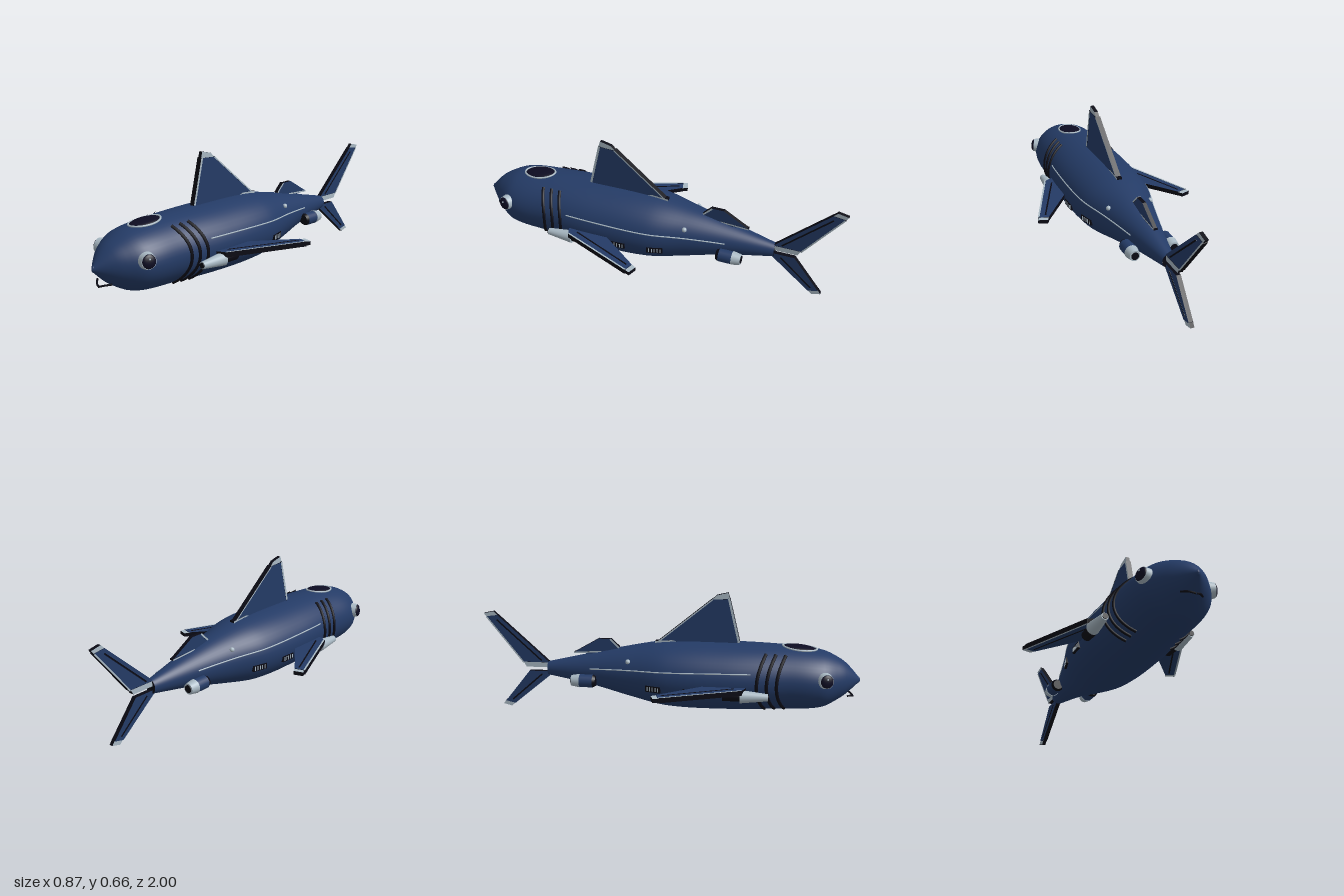
import * as THREE from 'three';

const mat = (name, color, side = THREE.FrontSide) => {
  const m = new THREE.MeshStandardMaterial({ color, side });
  m.name = name;
  return m;
};
const navy = mat('navy hull', 0x243b66);
const black = mat('black rubber', 0x0a0a14);
const steel = mat('pale steel', 0xa9b9c4);
const glass = mat('dark glass', 0x0d0c22);

// hull stations: z, top, bottom, half width
const stations = [
  [1, 0.224, 0.214, 0.004], [0.95, 0.283, 0.166, 0.06], [0.9, 0.325, 0.125, 0.11],
  [0.8, 0.369, 0.074, 0.178], [0.6, 0.391, 0.058, 0.197], [0.3, 0.399, 0.045, 0.215],
  [0, 0.394, 0.05, 0.2], [-0.2, 0.362, 0.09, 0.143], [-0.4, 0.318, 0.14, 0.09],
  [-0.655, 0.26, 0.187, 0.033],
];

// smooth interpolation between stations
function hullAt(z) {
  let i = 0;
  while (i < stations.length - 2 && z < stations[i + 1][0]) i++;
  const at = (k) => stations[THREE.MathUtils.clamp(k, 0, stations.length - 1)];
  const [p0, p1, p2, p3] = [at(i - 1), at(i), at(i + 1), at(i + 2)];
  const d = p2[0] - p1[0], u = (z - p1[0]) / d;
  const [top, bottom, w] = [1, 2, 3].map((k) => {
    const m1 = ((p2[k] - p0[k]) / (p2[0] - p0[0])) * d;
    const m2 = ((p3[k] - p1[k]) / (p3[0] - p1[0])) * d;
    return (2 * u ** 3 - 3 * u ** 2 + 1) * p1[k] + (u ** 3 - 2 * u ** 2 + u) * m1
      + (3 * u ** 2 - 2 * u ** 3) * p2[k] + (u ** 3 - u ** 2) * m2;
  });
  return { c: (top + bottom) / 2, h: (top - bottom) / 2, w };
}
const onHull = (z, a) => {
  const { c, h, w } = hullAt(z);
  return new THREE.Vector3(w * Math.cos(a), c + h * Math.sin(a), z);
};
const sideX = (z, y) => {
  const { c, h, w } = hullAt(z);
  return w * Math.sqrt(Math.max(0, 1 - ((y - c) / h) ** 2));
};

function hullGeometry(rings = 72, sides = 48) {
  const pos = [], idx = [];
  for (let i = 0; i <= rings; i++) {
    const z = 1 - 1.655 * (i / rings) ** 1.15;
    for (let j = 0; j < sides; j++) pos.push(...onHull(z, (j / sides) * Math.PI * 2).toArray());
  }
  for (let i = 0; i < rings; i++) {
    for (let j = 0; j < sides; j++) {
      const k = (j + 1) % sides, a = i * sides + j, b = i * sides + k;
      idx.push(a, a + sides, b, b, a + sides, b + sides);
    }
  }
  const g = new THREE.BufferGeometry();
  g.setAttribute('position', new THREE.Float32BufferAttribute(pos, 3));
  g.setIndex(idx);
  g.computeVertexNormals();
  return g;
}

export function createModel() {
  const root = new THREE.Group();
  root.name = 'sharkSubmarine';

  const add = (name, geo, material, parent = root) => {
    const m = new THREE.Mesh(geo, material);
    m.name = name;
    parent.add(m);
    return m;
  };
  const tube = (name, pts, r, material, closed = false) =>
    add(name, new THREE.TubeGeometry(new THREE.CatmullRomCurve3(pts, closed), 40, r, 8, closed), material);
  // flat slab: upright points are (z, y), level points are (x, z)
  const slab = (name, pts, t, face, upright = true) => {
    const shape = new THREE.Shape(pts.map((p) => new THREE.Vector2(...p)));
    const g = new THREE.ExtrudeGeometry(shape, { depth: t, bevelEnabled: false });
    g.translate(0, 0, -t / 2);
    if (upright) g.rotateY(-Math.PI / 2);
    else g.rotateX(Math.PI / 2);
    return add(name, g, [face, black]);
  };
  const strip = ([ax, ay], [bx, by], w) => {
    const l = Math.hypot(bx - ax, by - ay), nx = (-(by - ay) / l) * w / 2, ny = ((bx - ax) / l) * w / 2;
    return [[ax + nx, ay + ny], [bx + nx, by + ny], [bx - nx, by - ny], [ax - nx, ay - ny]];
  };
  // cylinder or cone lying along z
  const barrel = (name, rFront, rBack, zFront, zBack, x, y, material) => {
    const g = new THREE.CylinderGeometry(rFront, rBack, zFront - zBack, 24);
    g.rotateX(Math.PI / 2);
    g.translate(x, y, (zFront + zBack) / 2);
    return add(name, g, material);
  };

  // hull and its tail end
  add('hull', hullGeometry(), navy);
  const end = add('tailCap', new THREE.CircleGeometry(1, 32), black);
  end.scale.set(0.033, 0.0365, 1);
  end.rotation.y = Math.PI;
  end.position.set(0, 0.2235, -0.655);

  // main dorsal fin
  slab('dorsalFin', [[0.38, 0.38], [0.318, 0.63], [0.23, 0.625], [-0.06, 0.385], [-0.06, 0.36], [0.36, 0.36]], 0.026, navy);
  slab('dorsalTip', [[0.32, 0.63], [0.31, 0.662], [0.25, 0.647], [0.225, 0.622]], 0.02, steel);
  slab('dorsalLeadingTrim', strip([0.37, 0.4], [0.314, 0.633], 0.012), 0.028, steel);
  slab('dorsalTrailingTrim', strip([0.23, 0.625], [-0.05, 0.395], 0.007), 0.028, steel);
  slab('dorsalFoot', [[0.07, 0.39], [0.02, 0.403], [-0.07, 0.396], [-0.07, 0.38]], 0.028, steel);

  // small rear dorsal fin
  slab('rearDorsalFin', [[-0.26, 0.335], [-0.31, 0.397], [-0.375, 0.397], [-0.51, 0.318], [-0.38, 0.31]], 0.02, navy);
  slab('rearDorsalTrim', strip([-0.265, 0.35], [-0.312, 0.396], 0.009), 0.022, steel);
  slab('rearDorsalBase', strip([-0.36, 0.326], [-0.51, 0.317], 0.008), 0.022, steel);

  // tail fin lobes
  slab('upperTailLobe', [[-0.64, 0.25], [-0.925, 0.51], [-0.985, 0.502], [-0.785, 0.25]], 0.024, navy);
  slab('upperTailTip', [[-0.925, 0.51], [-0.945, 0.53], [-1, 0.518], [-0.985, 0.498]], 0.02, steel);
  slab('upperTailTrim', strip([-0.79, 0.252], [-0.985, 0.5], 0.008), 0.026, steel);
  slab('upperTailRib', strip([-0.69, 0.265], [-0.93, 0.485], 0.008), 0.026, black);
  slab('tailRoot', [[-0.645, 0.256], [-0.79, 0.256], [-0.775, 0.229], [-0.645, 0.229]], 0.028, steel);
  slab('lowerTailLobe', [[-0.64, 0.206], [-0.76, 0.206], [-0.9, 0.03], [-0.848, 0.018], [-0.64, 0.19]], 0.024, navy);
  slab('lowerTailTip', [[-0.848, 0.02], [-0.9, 0.034], [-0.915, 0.012], [-0.868, 0]], 0.02, steel);
  slab('lowerTailRib', strip([-0.69, 0.19], [-0.86, 0.04], 0.008), 0.026, black);

  // canopy lying on the upper hull
  const canopy = add('canopy', new THREE.SphereGeometry(1, 32, 16), glass);
  canopy.scale.set(0.057, 0.014, 0.086);
  canopy.position.set(0, 0.381, 0.685);
  canopy.rotation.x = 0.1;
  const rim = [];
  for (let i = 0; i < 24; i++) {
    const a = (i / 24) * Math.PI * 2, z = 0.685 + 0.088 * Math.sin(a), { c, h, w } = hullAt(z);
    const x = 0.058 * Math.cos(a);
    rim.push(new THREE.Vector3(x, c + h * Math.sqrt(1 - (x / w) ** 2) + 0.002, z));
  }
  tube('canopyRim', rim, 0.005, steel, true);

  // nose stud
  const nose = add('noseStud', new THREE.SphereGeometry(1, 16, 12), navy);
  nose.scale.set(0.01, 0.016, 0.01);
  nose.position.set(0, 0.22, 0.99);

  for (const s of [1, -1]) {
    const mirror = (pts) => pts.map(([x, z]) => [s * x, z]);

    // pectoral fin
    const level = (name, pts, t, m) => {
      slab(name, mirror(pts), t, m, false).position.y = 0.205;
    };
    level('pectoralFin', [[0.18, 0.43], [0.255, 0.4], [0.425, 0.0], [0.375, -0.015], [0.21, 0.2], [0.18, 0.2]], 0.024, navy);
    level('pectoralTip', [[0.425, 0.002], [0.436, -0.024], [0.388, -0.04], [0.373, -0.015]], 0.02, steel);
    level('pectoralTrim', strip([0.256, 0.398], [0.425, 0.0], 0.009), 0.026, steel);
    level('pectoralRib', strip([0.23, 0.36], [0.385, 0.01], 0.008), 0.026, black);

    // forward lamp pod below the fin root
    barrel('podNose', 0.018, 0.034, 0.53, 0.39, s * 0.226, 0.176, steel);
    barrel('podMuzzle', 0.014, 0.014, 0.534, 0.5, s * 0.226, 0.176, black);
    barrel('podBody', 0.027, 0.027, 0.39, 0.3, s * 0.22, 0.176, black);

    // rear thruster
    barrel('thrusterIntake', 0.026, 0.034, -0.375, -0.39, s * 0.105, 0.19, black);
    barrel('thrusterBody', 0.034, 0.034, -0.39, -0.46, s * 0.105, 0.19, navy);
    barrel('thrusterRing', 0.036, 0.028, -0.46, -0.505, s * 0.105, 0.19, steel);
    barrel('thrusterNozzle', 0.02, 0.02, -0.47, -0.508, s * 0.105, 0.19, black);

    // gill bands
    for (const z0 of [0.57, 0.52, 0.47]) {
      const pts = [];
      for (let i = 0; i <= 12; i++) {
        const a = THREE.MathUtils.degToRad(-57 + 9.5 * i);
        const p = onHull(z0 + 0.06 * Math.sin(a) ** 2, a);
        pts.push(p.setX(p.x * s));
      }
      tube('gill', pts, 0.009, black);
    }

    // seam line along the flank
    const seam = [];
    for (let i = 0; i <= 16; i++) {
      const z = 0.44 - 0.85 * (i / 16), y = 0.283 - 0.034 * (i / 16) ** 2;
      seam.push(new THREE.Vector3(s * sideX(z, y), y, z));
    }
    tube('flankSeam', seam, 0.0035, steel);

    // rivet
    const rivet = add('rivet', new THREE.SphereGeometry(0.013, 16, 12), steel);
    rivet.position.set(s * sideX(-0.2, 0.305), 0.305, -0.2);

    // flank vents
    for (const z of [0.32, 0.14, -0.06]) {
      const vent = new THREE.Group();
      vent.name = 'vent';
      vent.position.set(s * sideX(z, 0.182), 0.182, z);
      vent.rotation.y = s * Math.atan2(sideX(z + 0.04, 0.182) - sideX(z - 0.04, 0.182), 0.08);
      root.add(vent);
      add('ventFrame', new THREE.BoxGeometry(0.012, 0.032, 0.084), black, vent);
      for (let i = 0; i < 5; i++) {
        add('ventSlat', new THREE.BoxGeometry(0.016, 0.022, 0.005), steel, vent).position.z = (i - 2) * 0.015;
      }
    }

    // eye
    const eye = new THREE.Group();
    eye.name = 'eye';
    eye.position.set(s * sideX(0.815, 0.255), 0.255, 0.815);
    eye.lookAt(eye.position.clone().add(new THREE.Vector3(s * 0.93, 0.12, 0.3)));
    root.add(eye);
    const socket = new THREE.CylinderGeometry(0.036, 0.042, 0.03, 32).rotateX(Math.PI / 2);
    add('eyeRing', socket, steel, eye).position.z = 0.004;
    const lens = add('eyeLens', new THREE.SphereGeometry(0.034, 24, 16), glass, eye);
    lens.scale.z = 0.4;
    lens.position.z = 0.018;
    add('eyeGlint', new THREE.SphereGeometry(0.005, 12, 8), steel, eye).position.set(0, 0.012, 0.03);

    // mouth bar
    tube('mouth', [new THREE.Vector3(s * 0.055, 0.146, 0.93), new THREE.Vector3(s * 0.027, 0.14, 0.955),
      new THREE.Vector3(0, 0.131, 0.968)], 0.005, black);
  }
  return root;
}
